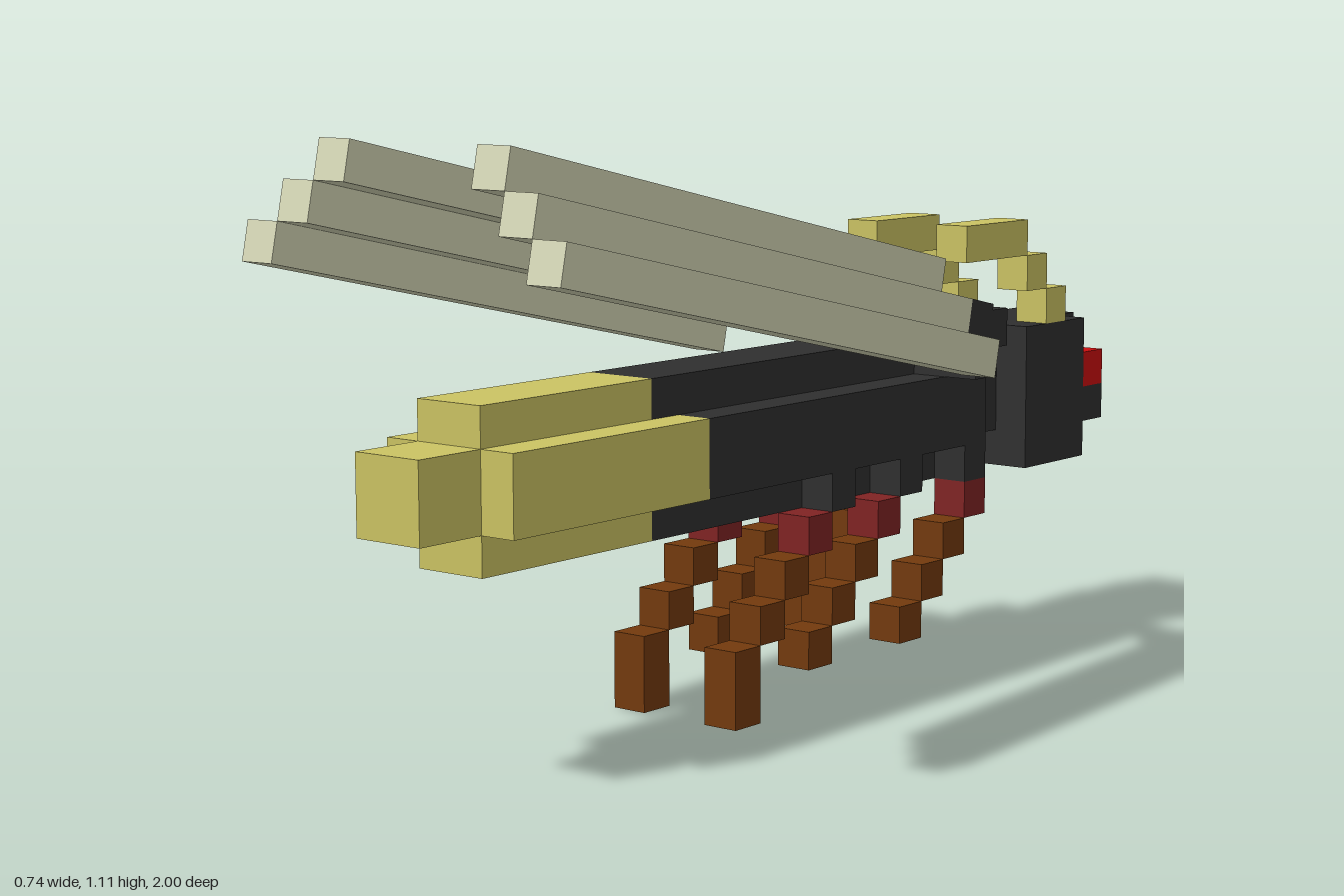
import * as THREE from 'three';

const U = 2 / 27; // one grid cell

const mat = (name, color) => {
  const m = new THREE.MeshStandardMaterial({ color });
  m.name = name;
  return m;
};

export function createModel() {
  const root = new THREE.Group();
  root.name = 'insect';
  const dark = mat('charcoal', 0x2f2f2f);
  const yellow = mat('yellow', 0xcbc363);
  const cream = mat('wing cream', 0xd5d7b6);
  const red = mat('eye red', 0xcc0e0e);
  const maroon = mat('maroon', 0x802323);
  const brown = mat('brown', 0x733a0d);

  // Box from cell ranges; z counts cells from the head end
  const box = (parent, name, m, [x0, x1], [y0, y1], [z0, z1]) => {
    const g = new THREE.BoxGeometry((x1 - x0) * U, (y1 - y0) * U, (z1 - z0) * U);
    const mesh = new THREE.Mesh(g, m);
    mesh.name = name;
    mesh.position.set((x0 + x1) / 2 * U, (y0 + y1) / 2 * U, ((z0 + z1) / 2 - 13.5) * U);
    parent.add(mesh);
    return mesh;
  };
  // Same box on both sides
  const pair = (name, m, [x0, x1], y, z) => {
    box(root, name + 'Left', m, [x0, x1], y, z);
    box(root, name + 'Right', m, [-x1, -x0], y, z);
  };

  // Head, neck and eyes
  box(root, 'head', dark, [-2, 2], [5, 9], [1, 4]);
  box(root, 'face', dark, [-1, 1], [5, 9], [0, 1]);
  pair('cheek', dark, [1, 2], [6, 7], [0, 1]);
  pair('eye', red, [1, 2], [7, 8], [0, 1]);
  box(root, 'neck', dark, [-1, 1], [6, 8], [4, 6]);

  // Stepped antennae
  pair('antennaBase', yellow, [1, 2], [9, 10], [2, 3]);
  pair('antennaMiddle', yellow, [1, 2], [10, 11], [3, 4]);
  pair('antennaTip', yellow, [1, 2], [11, 12], [4, 7]);

  // Thorax and tail
  box(root, 'thorax', dark, [-1, 1], [5, 9], [6, 19]);
  pair('thoraxSide', dark, [1, 2], [6, 8], [6, 18]);
  box(root, 'tail', yellow, [-1, 1], [5, 9], [19, 25]);
  pair('tailSide', yellow, [1, 2], [6, 8], [18, 25]);
  box(root, 'tailTip', yellow, [-1, 1], [6, 8], [25, 27]);

  // Wing shoulders
  pair('shoulder', dark, [1, 3], [8, 9], [7, 8]);
  pair('shoulderStep', dark, [2, 4], [9, 10], [8, 9]);

  // Legs: [hip start, upper segment start, lowest y]
  [[6, 6, 1], [9, 10, 1], [12, 13, 0]].forEach(([hip, z, foot], i) => {
    const n = ['front', 'middle', 'rear'][i];
    pair(n + 'Hip', dark, [1, 2], [5, 6], [hip, hip + 1]);
    pair(n + 'Thigh', maroon, [1, 2], [4, 5], [z, z + 1]);
    pair(n + 'Knee', brown, [1, 2], [3, 4], [z + 1, z + 2]);
    pair(n + 'Shin', brown, [1, 2], [2, 3], [z + 2, z + 3]);
    pair(n + 'Foot', brown, [1, 2], [foot, 2], [z + 3, z + 4]);
  });

  // Tilted wings of three stepped slats, with a joint at the front
  for (const s of [1, -1]) {
    const wing = new THREE.Group();
    wing.name = s > 0 ? 'leftWing' : 'rightWing';
    wing.position.set(s * 3.5 * U, 0.867, 0.336);
    wing.rotation.x = -0.216;
    for (let i = -1; i <= 1; i++) {
      const x = s * i;
      box(wing, 'wingSlat', cream, [x - 0.5, x + 0.5], [-i - 0.5, -i + 0.5], [5, 22]);
    }
    box(wing, 'wingJoint', dark, [-0.5, 0.5], [-0.5, 0.5], [4, 5]);
    root.add(wing);
  }
  return root;
}
